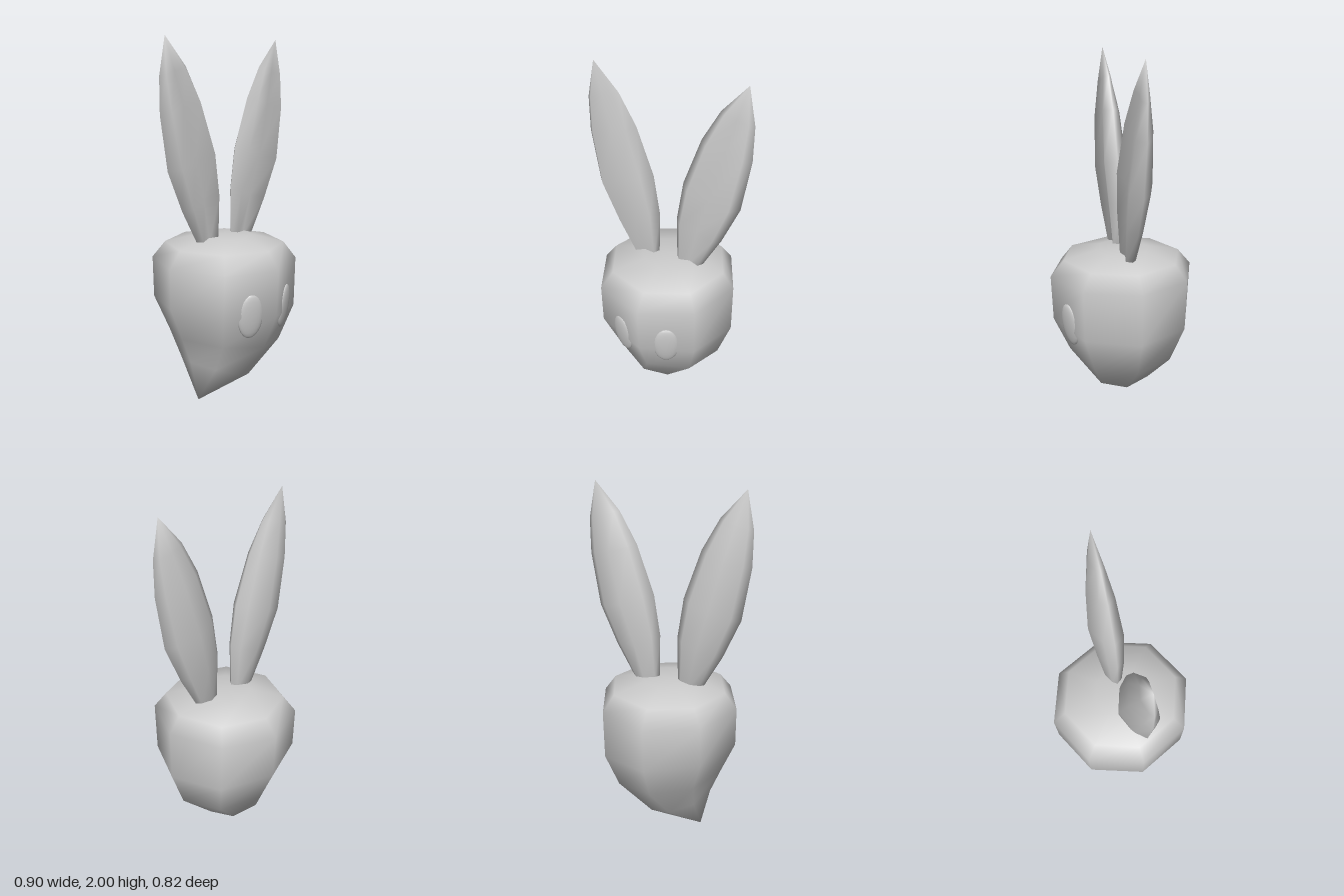
import * as THREE from 'three';

const grey = new THREE.MeshStandardMaterial({ color: 0xcccccc });

// Skin over slanted rings [xLow, yLow, xHigh, yHigh, depth], closed by a point at each end.
// section: [u, w] pairs, u from -1 to 1 across the ring, w scales the depth.
function loft(rings, section, bottom, top) {
  const n = section.length, pos = [], index = [];
  for (const [xa, ya, xb, yb, d] of rings) {
    for (const [u, w] of section) {
      const t = (u + 1) / 2;
      pos.push(xa + (xb - xa) * t, ya + (yb - ya) * t, w * d);
    }
  }
  const b = rings.length * n, last = b - n;
  pos.push(...bottom, ...top);
  for (let j = 0; j < n; j++) {
    const k = (j + 1) % n;
    index.push(b, j, k, b + 1, last + k, last + j);
    for (let o = 0; o < last; o += n) {
      index.push(o + j, o + n + j, o + k, o + k, o + n + j, o + n + k);
    }
  }
  const g = new THREE.BufferGeometry();
  g.setAttribute('position', new THREE.Float32BufferAttribute(pos, 3));
  g.setIndex(index);
  g.computeVertexNormals();
  return g;
}

function add(parent, name, geometry) {
  const mesh = new THREE.Mesh(geometry, grey);
  mesh.name = name;
  parent.add(mesh);
  return mesh;
}

export function createModel() {
  const model = new THREE.Group();
  model.name = 'longEaredHead';

  // Head: eight-sided, its pointed chin swept to one side
  const octagon = [];
  for (let i = 0; i < 8; i++) {
    octagon.push([Math.cos(i * Math.PI / 4), Math.sin(i * Math.PI / 4)]);
  }
  const headRings = [
    [-0.26, 0.24, 0.11, 0.10, 0.20],
    [-0.32, 0.39, 0.32, 0.30, 0.31],
    [-0.40, 0.58, 0.395, 0.51, 0.40],
    [-0.40, 0.80, 0.395, 0.80, 0.41],
    [-0.33, 0.89, 0.33, 0.89, 0.335],
    [-0.15, 0.932, 0.15, 0.932, 0.15],
  ];
  add(model, 'head', loft(headRings, octagon, [-0.205, 0, 0], [0, 0.937, 0]));

  // Ears: ridged back, shallow hollow in front
  const earSection = [
    [1, 0], [0.72, 0.68], [0, 0.4], [-0.72, 0.68],
    [-1, 0], [-0.72, -0.52], [0, -1], [0.72, -0.52],
  ];
  const earRings = [
    [0.055, 0.90, 0.20, 0.90, 0.045],
    [0.05, 1.18, 0.31, 1.10, 0.075],
    [0.085, 1.41, 0.405, 1.32, 0.095],
    [0.18, 1.68, 0.45, 1.61, 0.072],
    [0.275, 1.85, 0.45, 1.80, 0.038],
  ];
  const mirrored = earRings.map(([xa, ya, xb, yb, d]) => [-xb, yb, -xa, ya, d]);
  add(model, 'leftEar', loft(earRings, earSection, [0.13, 0.89, 0], [0.41, 2, 0]));
  add(model, 'rightEar', loft(mirrored, earSection, [-0.13, 0.89, 0], [-0.41, 2, 0]));

  // Eyes: flattened ovals lying on the front facets
  for (const side of [1, -1]) {
    const eye = add(model, side > 0 ? 'leftEye' : 'rightEye', new THREE.SphereGeometry(1, 20, 12));
    eye.scale.set(0.072, 0.125, 0.022);
    eye.position.set(side * 0.132, 0.56, 0.332);
    eye.rotation.set(0.12, side * 0.4, 0, 'YXZ');
  }
  return model;
}
